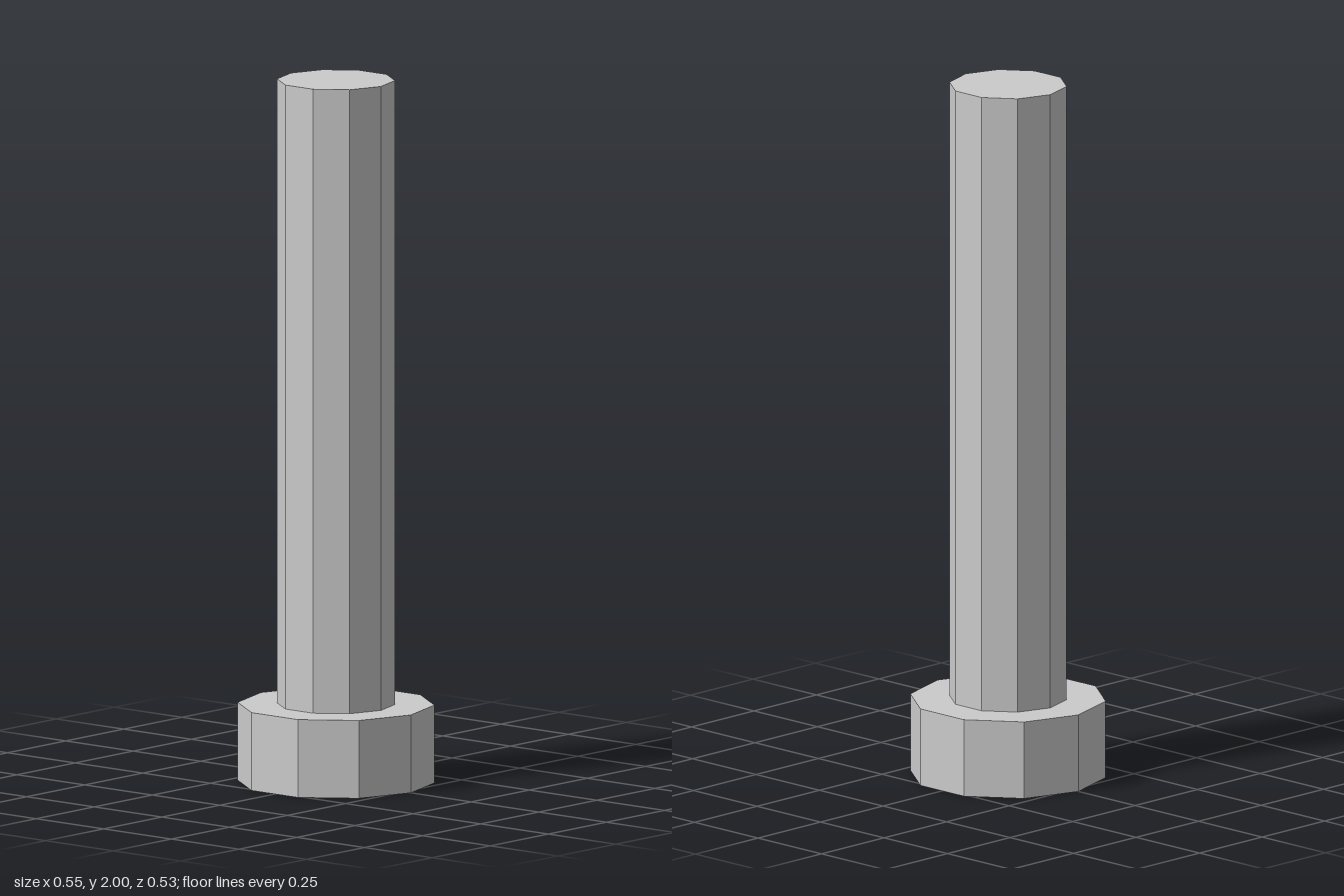
import * as THREE from 'three';

const SIDES = 10;
const HEAD_HEIGHT = 0.222;

export function createModel() {
  const group = new THREE.Group();
  group.name = 'bolt';
  const material = new THREE.MeshStandardMaterial({ color: 0xcccccc, flatShading: true });

  // Ten-sided prism between two heights, with corners on the x axis
  function prism(name, radius, bottom, top) {
    const geometry = new THREE.CylinderGeometry(radius, radius, top - bottom, SIDES, 1, false, Math.PI / 2);
    const mesh = new THREE.Mesh(geometry, material);
    mesh.name = name;
    mesh.position.y = (bottom + top) / 2;
    group.add(mesh);
  }

  // Wide head resting on the ground, slim shank standing on it
  prism('head', 0.277, 0, HEAD_HEIGHT);
  prism('shank', 0.166, HEAD_HEIGHT, 2);

  return group;
}
